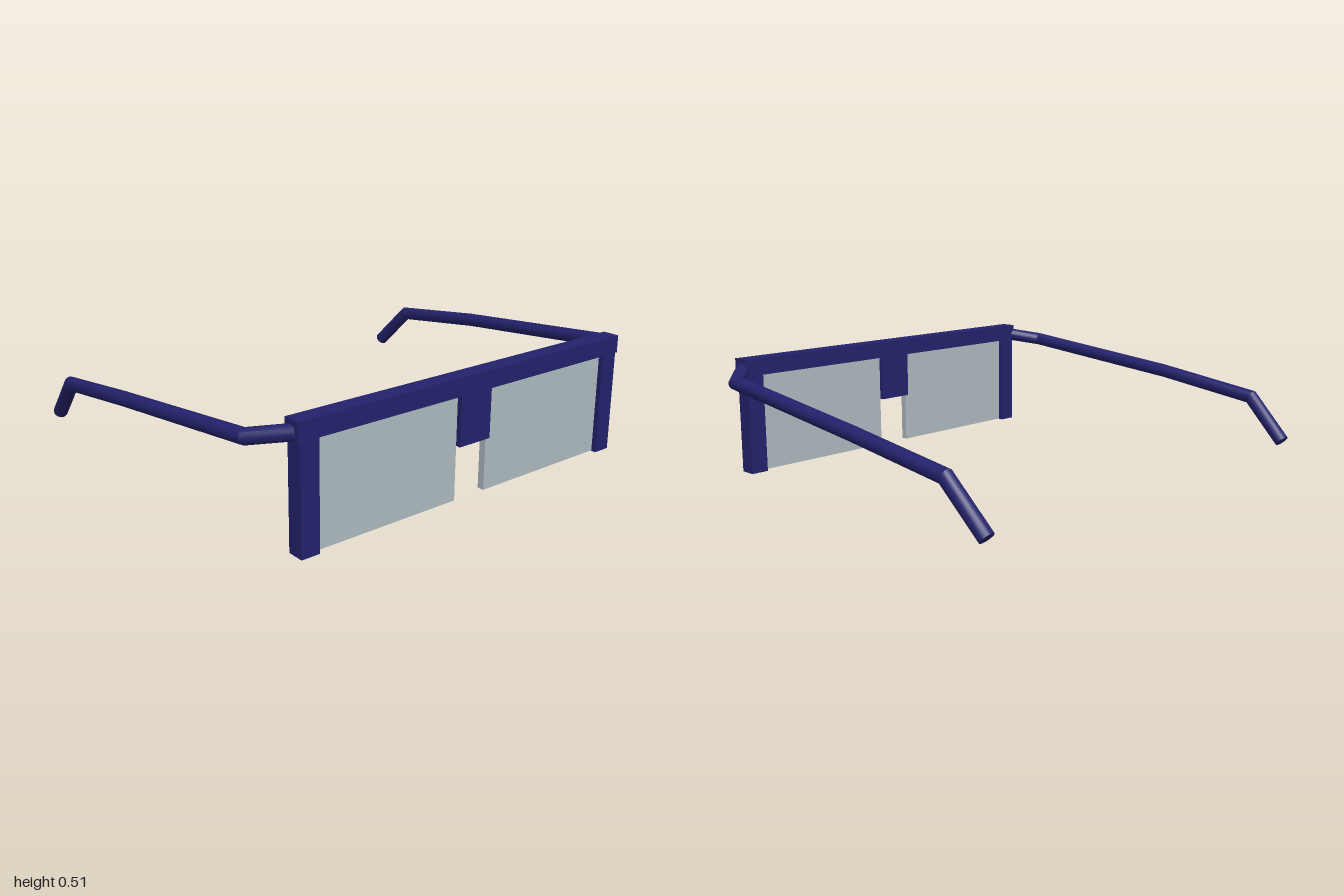
import * as THREE from 'three';
import { toCreasedNormals } from 'three/addons/utils/BufferGeometryUtils.js';

const SIDES = 16;

// Round rod along a polyline, with mitred bends and flat end caps
function rodGeometry(path, radius) {
  const dirs = path.slice(1).map((p, i) => p.clone().sub(path[i]).normalize());
  const u = new THREE.Vector3(0, 1, 0).cross(dirs[0]).normalize();
  const v = dirs[0].clone().cross(u);
  let ring = [];
  for (let i = 0; i < SIDES; i++) {
    const a = (i / SIDES) * Math.PI * 2;
    ring.push(path[0].clone()
      .addScaledVector(u, Math.cos(a) * radius)
      .addScaledVector(v, Math.sin(a) * radius));
  }
  const positions = [];
  const triangle = (...pts) => pts.forEach((p) => positions.push(p.x, p.y, p.z));
  const cap = (r, centre, flip) => r.forEach((p, i) => {
    const q = r[(i + 1) % SIDES];
    if (flip) triangle(centre, q, p);
    else triangle(centre, p, q);
  });

  cap(ring, path[0], true);
  dirs.forEach((dir, s) => {
    // slide the ring along the segment onto the mitre plane at its end
    const end = path[s + 1];
    const normal = dir.clone().add(dirs[s + 1] ?? dir).normalize();
    const next = ring.map((p) => {
      const t = end.clone().sub(p).dot(normal) / dir.dot(normal);
      return p.clone().addScaledVector(dir, t);
    });
    for (let i = 0; i < SIDES; i++) {
      const j = (i + 1) % SIDES;
      triangle(ring[i], ring[j], next[j]);
      triangle(ring[i], next[j], next[i]);
    }
    ring = next;
  });
  cap(ring, path[path.length - 1], false);

  const geometry = new THREE.BufferGeometry();
  geometry.setAttribute('position', new THREE.Float32BufferAttribute(positions, 3));
  return toCreasedNormals(geometry, Math.PI / 6);
}

export function createModel() {
  const group = new THREE.Group();
  group.name = 'glasses';

  const frameMaterial = new THREE.MeshStandardMaterial({ color: 0x23226c });
  frameMaterial.name = 'navy frame';
  const lensMaterial = new THREE.MeshStandardMaterial({ color: 0xacb9bf });
  lensMaterial.name = 'grey lens';

  const add = (name, geometry, material) => {
    const mesh = new THREE.Mesh(geometry, material);
    mesh.name = name;
    group.add(mesh);
  };

  // Upright block centred on the frame plane, given its y and z ranges
  const frameX = 0.799;
  const block = (name, depth, y0, y1, z0, z1, material) => {
    const geometry = new THREE.BoxGeometry(depth, y1 - y0, z1 - z0);
    geometry.translate(frameX, (y0 + y1) / 2, (z0 + z1) / 2);
    add(name, geometry, material);
  };

  // Brow bar and nose bridge
  block('browBar', 0.074, 0.435, 0.51, -0.84, 0.84, frameMaterial);
  block('bridge', 0.072, 0.23, 0.436, -0.08, 0.08, frameMaterial);

  for (const side of [1, -1]) {
    const suffix = side > 0 ? 'Near' : 'Far';

    // Outer post and lens
    block('post' + suffix, 0.072, 0, 0.436, side > 0 ? 0.75 : -0.83, side > 0 ? 0.83 : -0.75, frameMaterial);
    block('lens' + suffix, 0.03, 0.003, 0.436, side > 0 ? 0.08 : -0.75, side > 0 ? 0.75 : -0.08, lensMaterial);

    // Temple arm with a bent ear hook
    const path = [
      [0.805, 0.463, 0.822],
      [0.67, 0.435, 0.942],
      [-0.15, 0.35, 0.968],
      [-0.64, 0.284, 0.969],
      [-0.82, 0.104, 0.953],
    ].map(([x, y, z]) => new THREE.Vector3(x, y, z * side));
    add('temple' + suffix, rodGeometry(path, 0.031), frameMaterial);
  }

  return group;
}
